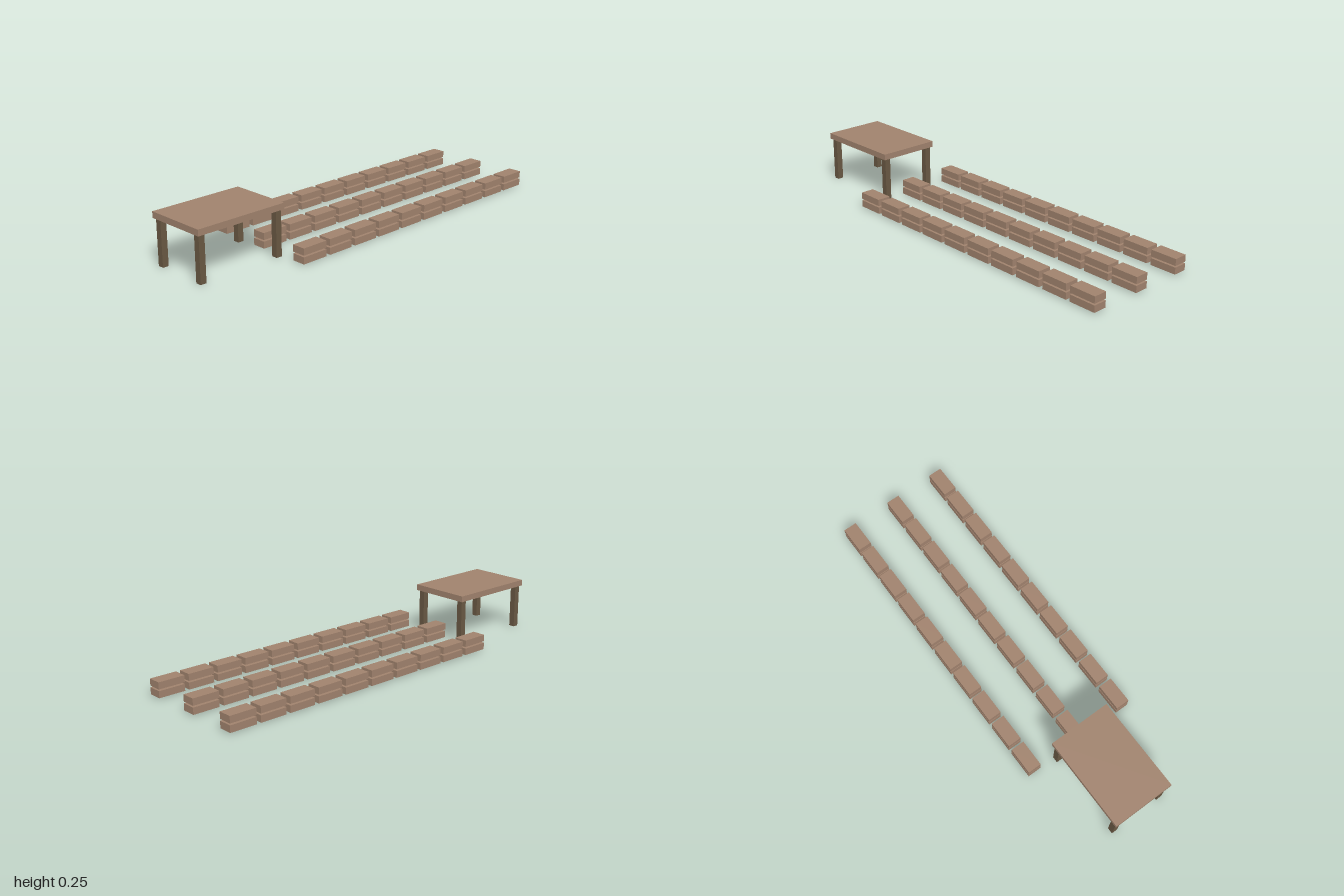
import * as THREE from 'three';

export function createModel() {
  const model = new THREE.Group();
  model.name = 'tableAndBlockRows';

  const wood = new THREE.MeshStandardMaterial({ color: 0xa0826d });
  wood.name = 'light wood';
  const darkWood = new THREE.MeshStandardMaterial({ color: 0x695843 });
  darkWood.name = 'dark wood';

  const addBox = (parent, name, geometry, material, x, y, z) => {
    const mesh = new THREE.Mesh(geometry, material);
    mesh.name = name;
    mesh.position.set(x, y, z);
    parent.add(mesh);
  };

  // Table: a slab on four square legs
  const table = new THREE.Group();
  table.name = 'table';
  table.position.x = -0.766;
  model.add(table);
  addBox(table, 'tableTop', new THREE.BoxGeometry(0.468, 0.03, 0.313), wood, 0, 0.235, 0);
  const legGeometry = new THREE.BoxGeometry(0.03, 0.22, 0.03);
  for (const sx of [-1, 1]) {
    for (const sz of [-1, 1]) {
      addBox(table, 'tableLeg', legGeometry, darkWood, sx * 0.209, 0.11, sz * 0.131);
    }
  }

  // Three rows of ten blocks, stacked two high with a small gap
  const blockGeometry = new THREE.BoxGeometry(0.135, 0.033, 0.068);
  for (const z of [-0.261, 0, 0.261]) {
    const row = new THREE.Group();
    row.name = 'blockRow';
    row.position.z = z;
    model.add(row);
    for (let i = 0; i < 10; i++) {
      const x = -0.48 + i * 0.157;
      addBox(row, 'lowerBlock', blockGeometry, wood, x, 0.022, 0);
      addBox(row, 'upperBlock', blockGeometry, wood, x, 0.063, 0);
    }
  }

  return model;
}
